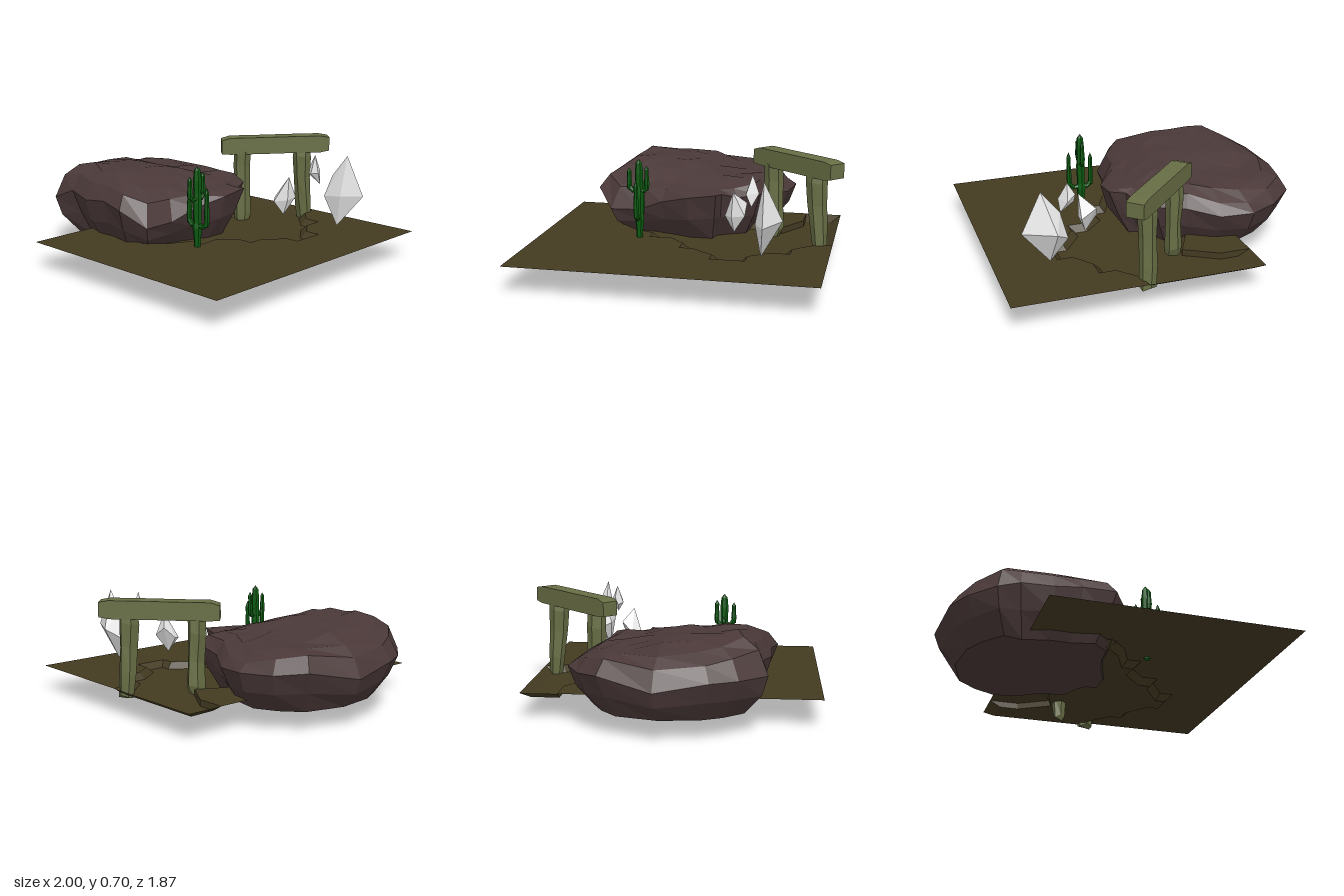
import * as THREE from 'three';
import { ConvexGeometry } from 'three/addons/geometries/ConvexGeometry.js';

const mat = (name, color, side = THREE.FrontSide) => {
  const m = new THREE.MeshStandardMaterial({ color, flatShading: true, side });
  m.name = name;
  return m;
};

// Skin over stacked rings (bottom to top), closed with a fan at each end
function loft(rings, bottom, top) {
  const n = rings[0].length, pos = [], idx = [];
  rings.forEach(r => r.forEach(p => pos.push(...p)));
  pos.push(...bottom, ...top);
  const b = rings.length * n, last = b - n;
  for (let i = 0; i < n; i++) {
    const j = (i + 1) % n;
    for (let k = 0; k < rings.length - 1; k++) {
      const o = k * n, u = o + n;
      idx.push(o + i, u + i, u + j, o + i, u + j, o + j);
    }
    idx.push(b, i, j, b + 1, last + j, last + i);
  }
  return finish(pos, idx);
}

function finish(pos, idx) {
  const g = new THREE.BufferGeometry();
  g.setAttribute('position', new THREE.Float32BufferAttribute(pos, 3));
  g.setIndex(idx);
  const f = g.toNonIndexed();
  f.computeVertexNormals();
  return f;
}

// Flat sheet from an outline of [x, z] points
function sheet(outline, y) {
  const g = new THREE.ShapeGeometry(new THREE.Shape(outline.map(p => new THREE.Vector2(...p))));
  return g.rotateX(Math.PI / 2).translate(0, y, 0);
}

// Move each corner inward by d
function inset(poly, d) {
  const n = poly.length;
  return poly.map((p, i) => {
    const a = poly[(i + n - 1) % n], b = poly[(i + 1) % n];
    const normal = (s, e) => new THREE.Vector2(s[1] - e[1], e[0] - s[0]).normalize();
    const n1 = normal(a, p), n2 = normal(p, b);
    const k = d / Math.max(0.5, 1 + n1.dot(n2));
    return [p[0] + (n1.x + n2.x) * k, p[1] + (n1.y + n2.y) * k];
  });
}

// Height along a profile of [position, height] points
function along(profile, v) {
  const i = profile.findIndex(p => p[0] >= v);
  if (i < 0) return profile[profile.length - 1][1];
  if (i === 0) return profile[0][1];
  return THREE.MathUtils.mapLinear(v, profile[i - 1][0], profile[i][0], profile[i - 1][1], profile[i][1]);
}

export function createModel() {
  const root = new THREE.Group();
  const earth = mat('earth', 0x433a21, THREE.DoubleSide);
  const stone = mat('brown stone', 0x4a3838);
  const moss = mat('mossy stone', 0x676d44);
  const green = mat('cactus green', 0x0c5a10);
  const white = mat('pale crystal', 0xececec);
  const add = (name, geo, m, parent = root) => {
    const mesh = new THREE.Mesh(geo, m);
    mesh.name = name;
    parent.add(mesh);
    return mesh;
  };

  // Ground with a sunken, step-edged bed; the bed's last four corners drop straight or slope by hand
  const HIGH = 0.17, LOW = 0.13;
  const edge = [[0.2, -0.88], [0.23, -0.76], [0.33, -0.65], [0.43, -0.65], [0.43, -0.53], [0.52, -0.41],
    [0.615, -0.41], [0.615, -0.2], [0.53, -0.2], [0.43, -0.06], [0.43, 0.02], [0.33, 0.02], [0.23, 0.12],
    [0.24, 0.25], [0.15, 0.25], [0.08, 0.4], [-0.03, 0.5], [-0.2, 0.4], [-0.25, -0.3], [-0.13, -0.53],
    [-0.33, -0.65], [-0.52, -0.65]];
  add('upperGround', sheet([...edge, [-0.52, 0.93], [1, 0.93], [1, -0.88]], HIGH), earth);
  const rim = [...edge, [-0.52, -0.88]], n = rim.length;
  const floor = [[0.18, -0.82], ...inset(rim, 0.04).slice(1, n - 4),
    [-0.13, -0.53], [-0.33, -0.65], [-0.45, -0.65], [-0.46, -0.82]];
  add('bedFloor', sheet(floor, LOW), earth);
  const pos = [], idx = [];
  rim.forEach((p, i) => {
    pos.push(p[0], HIGH, p[1], floor[i][0], LOW, floor[i][1]);
    const a = 2 * i, b = 2 * ((i + 1) % n);
    idx.push(a, b, b + 1, a, b + 1, a + 1);
  });
  add('bedWalls', finish(pos, idx), earth);

  // Boulder: widest outline as [x, z, height], shrunk toward the base and draped over the crown
  const outline = [[-1, -0.03, 0.31], [-0.91, -0.35, 0.38], [-0.76, -0.48, 0.36], [-0.58, -0.57, 0.36],
    [-0.38, -0.535, 0.35], [-0.2, -0.42, 0.38], [-0.01, -0.4, 0.41], [0.05, -0.27, 0.4], [0.11, -0.18, 0.43],
    [0.21, -0.16, 0.445], [0.21, 0.02, 0.42], [0.14, 0.2, 0.37], [0.09, 0.36, 0.3], [0.07, 0.55, 0.29],
    [-0.05, 0.66, 0.4], [-0.24, 0.62, 0.42], [-0.41, 0.62, 0.4], [-0.6, 0.57, 0.42], [-0.74, 0.6, 0.36],
    [-0.88, 0.44, 0.36], [-0.96, 0.28, 0.36]];
  const cx = -0.42, cz = 0.04;
  const crossX = [[-1, 0.36], [-0.96, 0.44], [-0.78, 0.52], [-0.59, 0.592], [-0.27, 0.58], [-0.1, 0.505],
    [0, 0.455], [0.21, 0.445]];
  const crossZ = [[-0.57, 0.38], [-0.42, 0.46], [-0.3, 0.495], [-0.2, 0.475], [-0.1, 0.5], [-0.03, 0.53],
    [0.13, 0.56], [0.27, 0.555], [0.42, 0.59], [0.62, 0.49], [0.66, 0.42]];
  const crown = (x, z) => Math.min(along(crossX, x), along(crossZ, z));
  const levels = [[0.765, 0], [0.92, 0.5], [1, 1], [0.9, 1.85], [0.74, 2], [0.52, 2], [0.27, 2]];
  const rings = levels.map(([s, t], k) => outline.map(([ox, oz, oy], i) => {
    const r = s + (k === 1 || k > 3 ? 0.02 * Math.sin(i * 2.4 + k * 1.9) : 0);
    const x = cx + (ox - cx) * r, z = cz + (oz - cz) * r;
    return [x, t <= 1 ? 0.12 + (oy - 0.12) * t : oy + (crown(x, z) - oy) * (t - 1), z];
  }));
  add('boulder', loft(rings, [cx, 0.12, cz], [cx, crown(cx, cz), cz]), stone);

  // Stone arch: two rough pillars and a leaning lintel
  const arch = new THREE.Group();
  arch.name = 'arch';
  root.add(arch);
  const pillar = (name, sections, tip) => {
    const r = sections.map(([x, y, z, rx, rz]) => Array.from({ length: 6 }, (_, i) => {
      const a = i * Math.PI / 3 + 0.4;
      return [x + rx * Math.cos(a), y + 0.012 * Math.sin(i * 2.1), z + rz * Math.sin(a)];
    }));
    const e = sections[sections.length - 1];
    add(name, loft(r, tip, [e[0], e[1], e[2]]), moss, arch);
  };
  pillar('frontPillar', [[-0.09, 0.03, -0.455, 0.038, 0.022], [-0.09, 0.18, -0.483, 0.05, 0.066],
    [-0.088, 0.33, -0.48, 0.043, 0.06], [-0.097, 0.5, -0.478, 0.052, 0.06],
    [-0.09, 0.6, -0.475, 0.054, 0.058]], [-0.075, 0, -0.45]);
  pillar('backPillar', [[0.188, 0.115, -0.803, 0.05, 0.042], [0.182, 0.25, -0.793, 0.054, 0.052],
    [0.182, 0.42, -0.778, 0.049, 0.06], [0.182, 0.56, -0.772, 0.058, 0.066],
    [0.182, 0.61, -0.772, 0.052, 0.06]], [0.19, 0.1, -0.8]);
  const beam = new THREE.BoxGeometry(0.718, 0.1, 0.108, 5, 1, 1);
  const bp = beam.attributes.position;
  for (let i = 0; i < bp.count; i++) {
    const t = bp.getX(i) / 0.718, up = bp.getY(i) > 0;
    const end = Math.abs(t) > 0.45;
    bp.setY(i, bp.getY(i) + 0.018 * t + (up ? (end ? -0.008 : 0.006) : (end ? 0.003 : -0.005)));
    if (Math.abs(t) > 0.25 && !end) bp.setX(i, bp.getX(i) * 1.4);
  }
  beam.rotateY(0.82).translate(0.055, 0.642, -0.638);
  add('lintel', beam, moss, arch);

  // Cactus: ribbed trunk with four upturned arms
  const cactus = new THREE.Group();
  cactus.name = 'cactus';
  cactus.position.set(0.255, 0, 0.31);
  root.add(cactus);
  const stem = pts => new THREE.LatheGeometry(pts.map(p => new THREE.Vector2(...p)), 6);
  add('trunk', stem([[0, 0.15], [0.02, 0.16], [0.022, 0.22], [0.03, 0.29], [0.025, 0.32], [0.029, 0.44],
    [0.024, 0.5], [0.026, 0.58], [0.02, 0.64], [0, 0.665]]), green, cactus);
  const arms = [[-0.066, 0, 0.3, 0.53], [0.079, 0, 0.3, 0.55], [0, 0.062, 0.465, 0.61], [0, -0.048, 0.465, 0.625]];
  for (const [x, z, y, top] of arms) {
    const h = top - y;
    const bend = new THREE.CatmullRomCurve3([new THREE.Vector3(0, y + 0.01, 0),
      new THREE.Vector3(x * 0.6, y - 0.002, z * 0.6), new THREE.Vector3(x, y + 0.03, z)]);
    add('armBend', new THREE.TubeGeometry(bend, 4, 0.015, 6), green, cactus);
    add('armTip', stem([[0, 0], [0.014, 0.01], [0.017, h * 0.3], [0.013, h * 0.65], [0.014, h * 0.85], [0, h]]),
      green, cactus).position.set(x, y, z);
  }

  // Floating crystals
  const crystal = (name, pts) => add(name, new ConvexGeometry(pts.map(p => new THREE.Vector3(...p))), white);
  crystal('largeCrystal', [[0.73, 0.67, -0.53], [0.85, 0.43, -0.54], [0.68, 0.22, -0.51], [0.58, 0.37, -0.55],
    [0.62, 0.53, -0.53], [0.72, 0.42, -0.48], [0.59, 0.4, -0.49], [0.66, 0.43, -0.63]]);
  crystal('lowCrystal', [[0.45, 0.53, -0.31], [0.41, 0.28, -0.31], [0.36, 0.45, -0.38], [0.45, 0.39, -0.38],
    [0.45, 0.38, -0.3], [0.38, 0.37, -0.25], [0.335, 0.38, -0.31]]);
  crystal('smallCrystal', [[0.55, 0.665, -0.44], [0.6, 0.56, -0.41], [0.595, 0.485, -0.44], [0.51, 0.54, -0.43],
    [0.505, 0.59, -0.45], [0.56, 0.56, -0.48], [0.55, 0.55, -0.4]]);

  return root;
}
